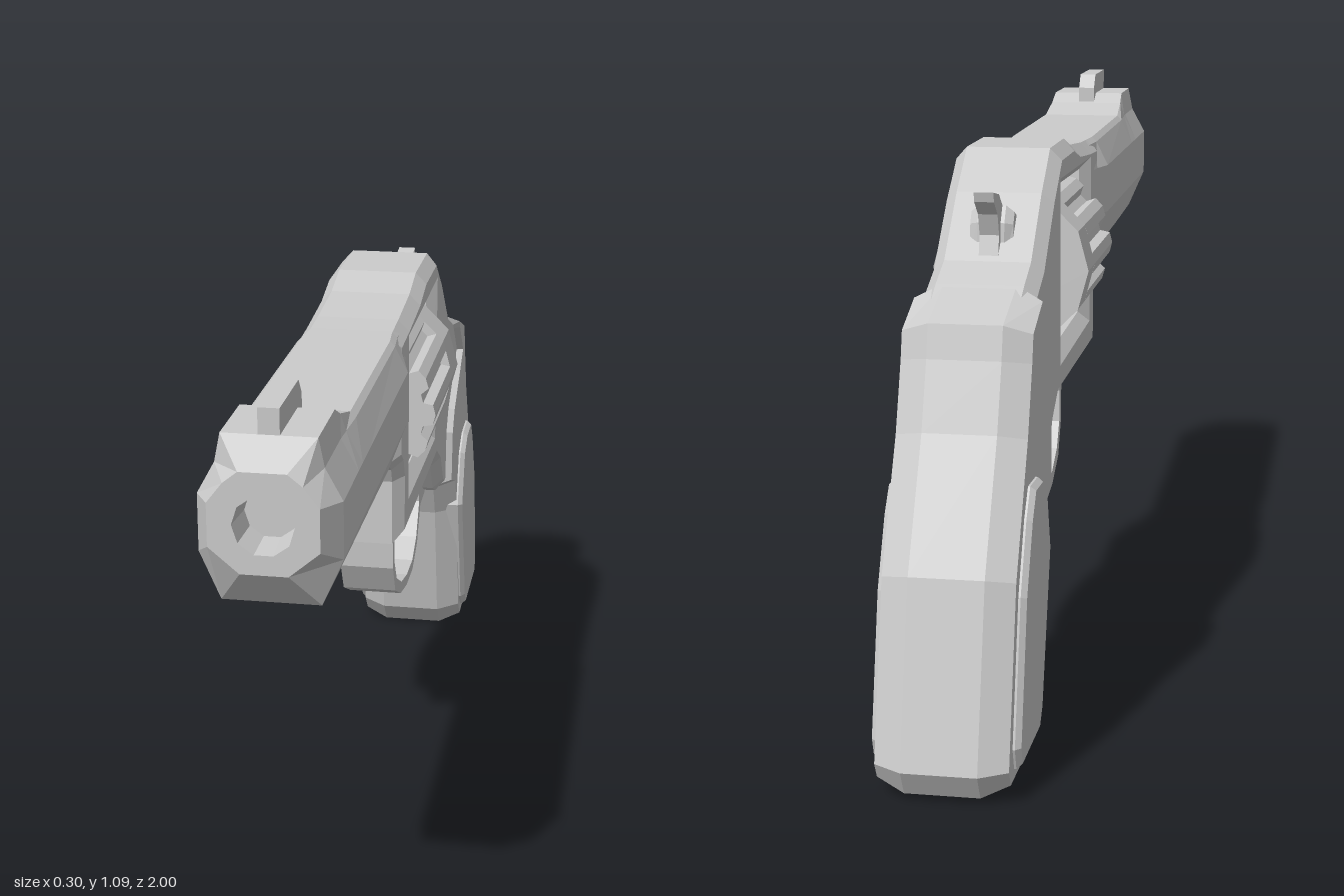
import * as THREE from 'three';

const material = new THREE.MeshStandardMaterial({ color: 0xcccccc, flatShading: true, side: THREE.DoubleSide });

// Side profile in [z, y], extruded across x to a half width, with chamfered edges
function profile(name, points, half, bevelX = 0, bevel = 0, hole = null) {
  const shape = new THREE.Shape(points.map(p => new THREE.Vector2(...p)));
  if (hole) shape.holes.push(new THREE.Path(hole.map(p => new THREE.Vector2(...p))));
  const depth = 2 * (half - bevelX);
  const geo = new THREE.ExtrudeGeometry(shape, {
    depth, bevelEnabled: bevel > 0, bevelThickness: bevelX,
    bevelSize: bevel, bevelOffset: -bevel, bevelSegments: 1,
  });
  geo.translate(0, 0, -depth / 2);
  geo.rotateY(-Math.PI / 2);
  const mesh = new THREE.Mesh(geo, material);
  mesh.name = name;
  return mesh;
}

// Loft of mirrored half sections, each { z, pts: [[x, y] from top to bottom] }
function loft(name, sections) {
  const pos = [], index = [];
  const n = sections[0].pts.length * 2;
  for (const { z, pts } of sections) {
    const ring = [...pts, ...pts.slice().reverse().map(([x, y]) => [-x, y])];
    ring.forEach(([x, y]) => pos.push(x, y, z));
  }
  for (let i = 0; i < sections.length - 1; i++) {
    for (let j = 0; j < n; j++) {
      const a = i * n + j, b = i * n + (j + 1) % n;
      index.push(a, a + n, b + n, a, b + n, b);
    }
  }
  const geo = new THREE.BufferGeometry();
  geo.setAttribute('position', new THREE.Float32BufferAttribute(pos, 3));
  geo.setIndex(index);
  geo.computeVertexNormals();
  const mesh = new THREE.Mesh(geo, material);
  mesh.name = name;
  return mesh;
}

// Barrel section: top height, flat half width, side half width, bottom height
const barrelSection = (z, top, flat, side, bottom) => ({
  z, pts: [[flat, top], [flat + 0.01, Math.min(top - 0.01, 0.995)], [side, 0.94], [side, 0.84], [side * 0.7, bottom]],
});

// Round section for the bore
const boreSection = (z, r) => ({
  z, pts: [18, 54, 90, 126, 162].map(d => {
    const a = THREE.MathUtils.degToRad(d);
    return [r * Math.sin(a), 0.91 + r * Math.cos(a)];
  }),
});

// Fluted cylinder with a plain rear rim
function createCylinder() {
  const group = new THREE.Group();
  group.name = 'cylinder';
  const R = 0.152, count = 12, fluted = [], rim = [];
  const polar = (r, deg) => new THREE.Vector2(r * Math.cos(deg * Math.PI / 180), r * Math.sin(deg * Math.PI / 180));
  for (let i = 0; i < count; i++) {
    const a = i * 30;
    rim.push(polar(R, a));
    fluted.push(polar(R, a), polar(R * 0.975, a + 8), polar(R * 0.85, a + 11),
      polar(R * 0.85, a + 19), polar(R * 0.975, a + 22));
  }
  const add = (name, pts, z0, z1) => {
    const geo = new THREE.ExtrudeGeometry(new THREE.Shape(pts), { depth: z1 - z0, bevelEnabled: false });
    const mesh = new THREE.Mesh(geo, material);
    mesh.position.set(0, 0.8, z0);
    mesh.name = name;
    group.add(mesh);
  };
  add('flutedBody', fluted, -0.2, 0.07);
  add('rearRim', rim, -0.29, -0.2);
  const pin = new THREE.Mesh(new THREE.CylinderGeometry(0.03, 0.03, 0.43, 8).rotateX(Math.PI / 2), material);
  pin.position.set(0, 0.8, -0.11);
  pin.name = 'cylinderPin';
  group.add(pin);
  return group;
}

export function createModel() {
  const model = new THREE.Group();
  model.name = 'revolver';

  // Barrel with raised sight ramp, tapered muzzle and recessed bore
  model.add(loft('barrel', [
    barrelSection(0.12, 1.0, 0.08, 0.1, 0.74),
    barrelSection(0.18, 1.0, 0.08, 0.105, 0.74),
    barrelSection(0.24, 1.0, 0.085, 0.12, 0.742),
    barrelSection(0.68, 1.003, 0.085, 0.12, 0.75),
    barrelSection(0.76, 1.025, 0.082, 0.12, 0.752),
    barrelSection(0.8, 1.045, 0.08, 0.12, 0.753),
    barrelSection(0.945, 1.045, 0.08, 0.12, 0.757),
    { z: 1, pts: [[0.04, 1.0], [0.065, 0.98], [0.092, 0.945], [0.092, 0.87], [0.04, 0.826]] },
    boreSection(1, 0.052),
    boreSection(0.93, 0.046),
    boreSection(0.93, 0),
  ]));
  model.add(profile('frontSight', [[0.945, 1.03], [0.945, 1.09], [0.79, 1.09], [0.765, 1.06], [0.765, 1.02]], 0.018));

  // Frame with the cylinder window
  model.add(profile('frame', [
    [0.22, 0.998], [0.1, 1.003], [-0.05, 1.015], [-0.14, 1.037], [-0.31, 1.037], [-0.36, 1.0], [-0.41, 0.965],
    [-0.47, 0.91], [-0.53, 0.855], [-0.605, 0.825], [-0.69, 0.78], [-0.72, 0.72], [-0.62, 0.6],
    [-0.56, 0.44], [-0.49, 0.43], [-0.45, 0.45], [-0.4, 0.52], [-0.34, 0.555], [0.17, 0.557],
    [0.17, 0.69], [0.185, 0.72], [0.22, 0.745],
  ], 0.102, 0.022, 0.024, [[0.08, 0.95], [-0.3, 0.957], [-0.29, 0.643], [0.07, 0.65]]));
  model.add(createCylinder());

  // Trigger guard band and trigger
  model.add(profile('triggerGuard', [
    [0.09, 0.565], [0.03, 0.535], [0, 0.5], [-0.005, 0.43], [-0.04, 0.365], [-0.12, 0.325], [-0.21, 0.308],
    [-0.3, 0.308], [-0.37, 0.345], [-0.42, 0.42], [-0.49, 0.425], [-0.49, 0.46], [-0.4, 0.57], [-0.35, 0.57],
    [-0.39, 0.5], [-0.4, 0.435], [-0.355, 0.365], [-0.295, 0.332], [-0.21, 0.332], [-0.13, 0.348],
    [-0.06, 0.385], [-0.027, 0.435], [-0.024, 0.5], [-0.04, 0.53], [-0.09, 0.57],
  ], 0.056));
  model.add(profile('trigger', [
    [-0.22, 0.58], [-0.24, 0.49], [-0.225, 0.425], [-0.195, 0.395], [-0.155, 0.39], [-0.155, 0.375],
    [-0.205, 0.375], [-0.245, 0.41], [-0.265, 0.47], [-0.31, 0.54], [-0.31, 0.58],
  ], 0.02));

  // Hammer with a wider base
  model.add(profile('hammerSpur', [
    [-0.43, 0.88], [-0.445, 0.925], [-0.475, 0.95], [-0.51, 0.975], [-0.565, 0.985], [-0.56, 0.967],
    [-0.525, 0.94], [-0.51, 0.9], [-0.53, 0.83],
  ], 0.018));
  model.add(profile('hammerBase', [[-0.42, 0.88], [-0.44, 0.935], [-0.475, 0.95], [-0.495, 0.92], [-0.5, 0.85]], 0.04, 0.015, 0.01));

  // Grip and raised side panels
  model.add(profile('grip', [
    [-0.6, 0.825], [-0.74, 0.78], [-0.755, 0.72], [-0.8, 0.6], [-0.92, 0.38], [-0.998, 0.06], [-0.97, 0.012],
    [-0.71, 0], [-0.668, 0.05], [-0.605, 0.33], [-0.57, 0.405], [-0.49, 0.435], [-0.5, 0.57],
    [-0.535, 0.625], [-0.67, 0.715], [-0.61, 0.775],
  ], 0.116, 0.05, 0.022));
  model.add(profile('gripPanels', [
    [-0.61, 0.35], [-0.65, 0.47], [-0.7, 0.503], [-0.78, 0.508], [-0.82, 0.46], [-0.88, 0.34],
    [-0.94, 0.09], [-0.925, 0.05], [-0.73, 0.043], [-0.7, 0.075],
  ], 0.13, 0.01, 0.008));

  return model;
}
